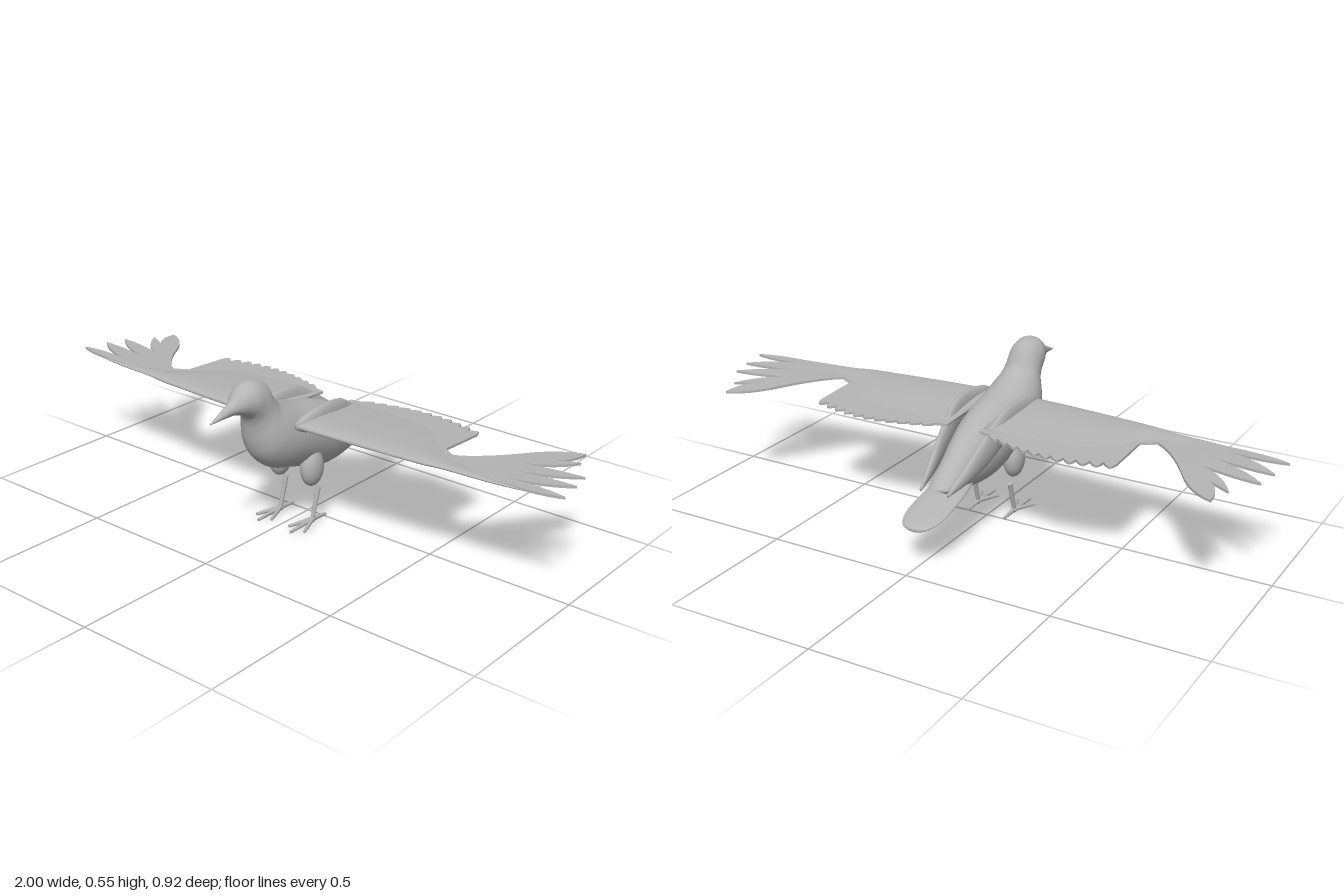
import * as THREE from 'three';

const V = (x, y, z) => new THREE.Vector3(x, y, z);

// Skin a list of equal-sized rings into a smooth closed surface
function skin(rings) {
  const n = rings[0].length, pos = [], idx = [];
  rings.forEach(r => r.forEach(p => pos.push(p.x, p.y, p.z)));
  for (let i = 0; i < rings.length - 1; i++)
    for (let j = 0; j < n; j++) {
      const a = i * n + j, b = i * n + (j + 1) % n;
      idx.push(a, a + n, b, b, a + n, b + n);
    }
  const last = (rings.length - 1) * n;
  for (let j = 1; j < n - 1; j++) idx.push(0, j, j + 1, last, last + j + 1, last + j);
  const g = new THREE.BufferGeometry();
  g.setAttribute('position', new THREE.Float32BufferAttribute(pos, 3));
  g.setIndex(idx);
  g.computeVertexNormals();
  return g;
}

// Interpolate station rows smoothly, then make one ring from each row
function loft(rows, ring, sides = 28, sub = 4) {
  const steps = (rows.length - 1) * sub;
  const curves = rows[0].map((_, k) => new THREE.CatmullRomCurve3(rows.map((r, i) => V(i, r[k], 0)), false, 'catmullrom', 0.5));
  const rings = [];
  for (let i = 0; i <= steps; i++) {
    const row = curves.map(c => c.getPoint(i / steps).y);
    rings.push(Array.from({ length: sides }, (_, j) => {
      const t = j / sides * Math.PI * 2;
      return ring(row, Math.cos(t), Math.sin(t));
    }));
  }
  return skin(rings);
}

// Mirror a geometry across x, keeping faces outward
function mirrored(geo) {
  const g = geo.clone().scale(-1, 1, 1);
  if (!g.index) g.setIndex(Array.from({ length: g.attributes.position.count }, (_, i) => i));
  const a = g.index.array;
  for (let i = 0; i < a.length; i += 3) [a[i], a[i + 1]] = [a[i + 1], a[i]];
  return g;
}

// Tapered rod between two points
function rod(a, b, ra, rb) {
  const d = b.clone().sub(a);
  const g = new THREE.CylinderGeometry(rb, ra, d.length(), 10);
  g.applyQuaternion(new THREE.Quaternion().setFromUnitVectors(V(0, 1, 0), d.clone().normalize()));
  const m = a.clone().add(b).multiplyScalar(0.5);
  return g.translate(m.x, m.y, m.z);
}

export function createModel() {
  const bird = new THREE.Group();
  bird.name = 'bird';
  const grey = new THREE.MeshStandardMaterial({ color: 0xb4b4b4 });
  grey.name = 'plumage grey';
  const add = (name, geo) => {
    const m = new THREE.Mesh(geo, grey);
    m.name = name;
    bird.add(m);
  };
  const pair = (name, geo) => {
    add('left' + name, geo);
    add('right' + name, mirrored(geo));
  };

  // Beak, head and body: top z, top y, bottom z, bottom y, half width
  add('body', loft([
    [0.46, 0.458, 0.46, 0.454, 0.003],
    [0.41, 0.48, 0.41, 0.456, 0.012],
    [0.365, 0.503, 0.365, 0.456, 0.022],
    [0.34, 0.527, 0.335, 0.448, 0.039],
    [0.31, 0.545, 0.315, 0.437, 0.051],
    [0.28, 0.549, 0.30, 0.425, 0.058],
    [0.235, 0.535, 0.29, 0.40, 0.06],
    [0.21, 0.50, 0.285, 0.37, 0.064],
    [0.19, 0.467, 0.277, 0.325, 0.076],
    [0.15, 0.445, 0.255, 0.275, 0.09],
    [0.08, 0.42, 0.2, 0.228, 0.097],
    [0, 0.402, 0.1, 0.198, 0.096],
    [-0.08, 0.375, 0, 0.165, 0.088],
    [-0.15, 0.34, -0.08, 0.157, 0.075],
    [-0.22, 0.292, -0.16, 0.17, 0.06],
    [-0.28, 0.248, -0.22, 0.195, 0.05],
    [-0.325, 0.215, -0.3, 0.203, 0.033],
  ], ([tz, ty, bz, by, w], c, s) =>
    V(w * c, (ty + by) / 2 + (ty - by) / 2 * s, (tz + bz) / 2 + (tz - bz) / 2 * s)));

  // Tail: z, y, half width, half thickness
  add('tail', loft([
    [-0.17, 0.2, 0.05, 0.014],
    [-0.25, 0.188, 0.066, 0.014],
    [-0.34, 0.168, 0.07, 0.012],
    [-0.4, 0.153, 0.066, 0.011],
    [-0.44, 0.143, 0.048, 0.01],
    [-0.455, 0.139, 0.028, 0.008],
    [-0.46, 0.138, 0.006, 0.004],
  ], ([z, y, w, h], c, s) => V(w * c, y + h * s, z)));

  // Shoulder feathers lying along the flanks: z, x, half thickness, top, bottom
  pair('ShoulderFeathers', loft([
    [0.17, 0.09, 0.003, 0.39, 0.37],
    [0.13, 0.093, 0.018, 0.407, 0.35],
    [0.05, 0.095, 0.018, 0.42, 0.33],
    [-0.05, 0.091, 0.017, 0.412, 0.30],
    [-0.15, 0.079, 0.016, 0.352, 0.25],
    [-0.25, 0.064, 0.013, 0.277, 0.222],
    [-0.33, 0.05, 0.004, 0.217, 0.208],
  ], ([z, x, w, top, bot], c, s) => V(x + w * c, (top + bot) / 2 + (top - bot) / 2 * s, z), 20));

  // Wing arm: x, leading z, trailing z, mid y, half thickness
  pair('WingArm', loft([
    [0.06, 0.17, -0.13, 0.376, 0.024],
    [0.2, 0.165, -0.13, 0.376, 0.023],
    [0.43, 0.15, -0.11, 0.375, 0.02],
    [0.54, 0.14, -0.01, 0.374, 0.017],
    [0.62, 0.126, 0.03, 0.373, 0.012],
    [0.8, 0.112, 0.076, 0.372, 0.007],
    [0.99, 0.08, 0.071, 0.372, 0.002],
  ], ([x, zl, zt, y, h], c, s) => {
    const z = (zl + zt) / 2 + (zl - zt) / 2 * c;
    return V(x, y + h * s * (0.6 + 0.4 * c) + (z - 0.1) * 0.03, z);
  }, 24));

  // Flight feathers: scalloped inner panel and spread fingers, as one thin plate
  const s = new THREE.Shape();
  const to = (x, z) => s.lineTo(x, -z);
  const bend = (cx, cz, x, z) => s.quadraticCurveTo(cx, -cz, x, -z);
  s.moveTo(0.06, -0.14);
  to(0.54, 0.12);
  to(0.62, 0.115);
  to(0.8, 0.105);
  bend(0.95, 0.1, 1, 0.073);
  // Each finger: notch point, then the next tip
  [[0.8, 0.068, 0.985, -0.018], [0.765, 0.01, 0.97, -0.093], [0.775, -0.06, 0.905, -0.185], [0.83, -0.145, 0.88, -0.26]]
    .forEach(([nx, nz, x, z]) => {
      const [px, pz] = [s.currentPoint.x, -s.currentPoint.y];
      bend((px + nx) / 2 + 0.03, (pz + nz) / 2 - 0.018, nx, nz);
      bend((nx + x) / 2 + 0.025, (nz + z) / 2 + 0.02, x, z);
    });
  bend(0.8, -0.235, 0.74, -0.135);
  bend(0.68, -0.04, 0.62, 0.01);
  to(0.59, 0.03);
  to(0.545, 0);
  to(0.545, -0.165);
  const feathers = 11, edge = u => -0.165 - 0.045 * Math.sin(Math.PI * u);
  for (let i = 0; i < feathers; i++) {
    const u = (i + 1) / feathers, x0 = 0.545 - 0.445 * i / feathers, x1 = 0.545 - 0.445 * u;
    bend(x0 - 0.004, edge(u) - 0.026, (x0 + x1) / 2, edge(u) - 0.013);
    bend(x1 + 0.006, edge(u) - 0.006, x1, edge(u) + 0.006);
  }
  to(0.06, -0.15);
  s.closePath();
  const plate = new THREE.ExtrudeGeometry(s, { depth: 0.008, bevelEnabled: false, curveSegments: 6 });
  plate.rotateX(-Math.PI / 2);
  const p = plate.attributes.position;
  for (let i = 0; i < p.count; i++) p.setY(i, p.getY(i) + 0.368 + 0.045 * Math.min(p.getZ(i), 0.05));
  plate.computeVertexNormals();
  pair('FlightFeathers', plate);

  // Thighs
  const thigh = new THREE.SphereGeometry(1, 24, 16).scale(0.034, 0.066, 0.046).translate(0.068, 0.2, 0.063);
  pair('Thigh', thigh);

  // Shanks and feet
  const ankle = V(0.07, 0.012, 0.062);
  pair('Shank', rod(ankle, V(0.07, 0.118, 0.033), 0.007, 0.009));
  pair('Ankle', new THREE.SphereGeometry(0.01, 12, 8).translate(0.07, 0.01, 0.062));
  [['InnerToe', 0.038, 0.145], ['MiddleToe', 0.07, 0.175], ['OuterToe', 0.104, 0.145], ['HindToe', 0.07, -0.005]]
    .forEach(([name, x, z]) => pair(name, rod(ankle, V(x, 0.006, z), 0.008, 0.005)));

  return bird;
}
